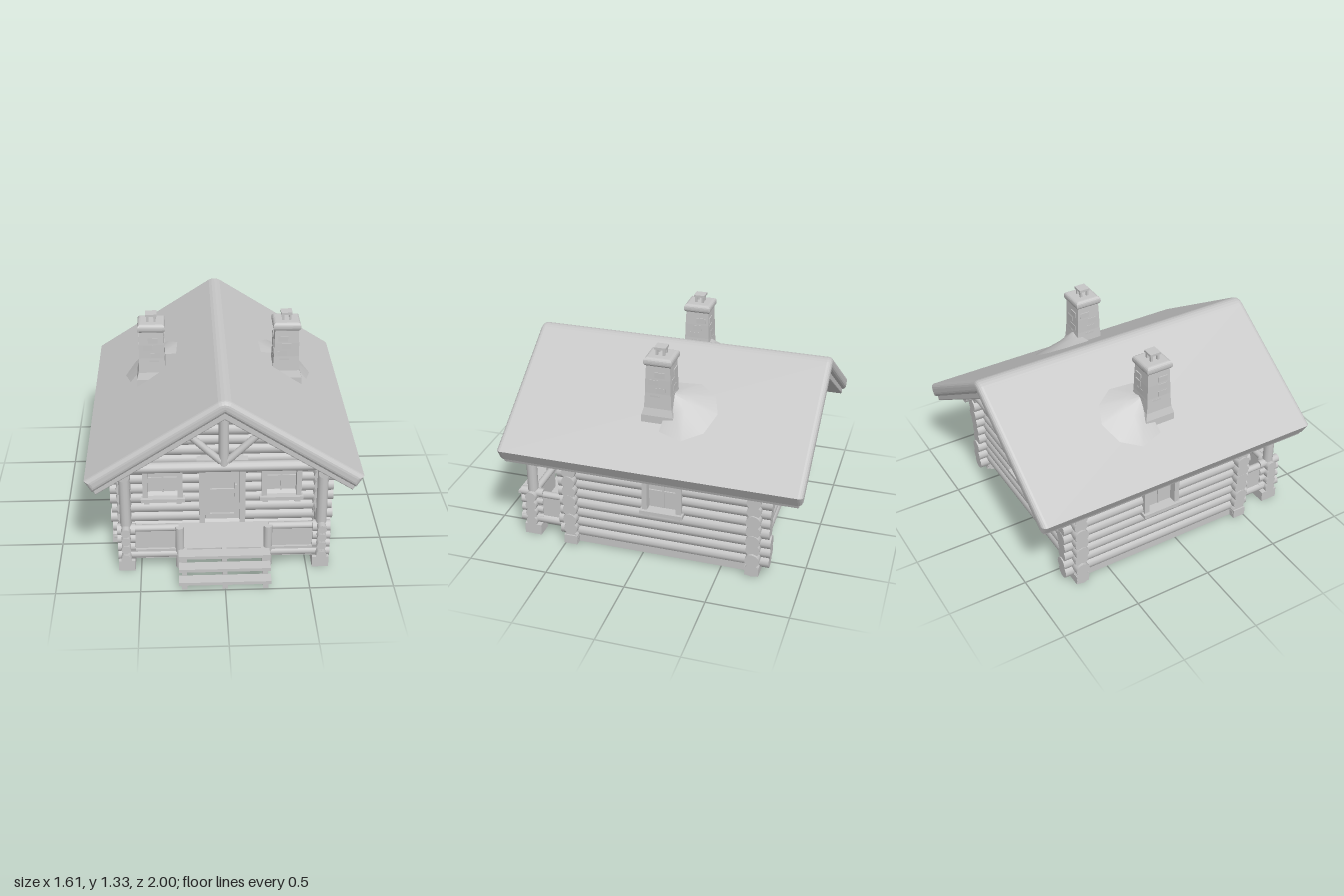
import * as THREE from 'three';

const gray = new THREE.MeshStandardMaterial({ color: 0xc6c6c6 });
gray.name = 'plain gray';

let seed = 7;
const rnd = () => (seed = (seed * 16807) % 2147483647) / 2147483647;

function add(parent, name, geo, x = 0, y = 0, z = 0) {
  const m = new THREE.Mesh(geo, gray);
  m.name = name;
  m.position.set(x, y, z);
  parent.add(m);
  return m;
}
const box = (p, name, x, y, z, w, h, d) => add(p, name, new THREE.BoxGeometry(w, h, d), x, y, z);

// round timber between two points
function log(p, name, a, b, r, sides = 12) {
  const A = new THREE.Vector3(...a), B = new THREE.Vector3(...b);
  const m = add(p, name, new THREE.CylinderGeometry(r, r, A.distanceTo(B), sides));
  m.position.copy(A).add(B).multiplyScalar(0.5);
  m.quaternion.setFromUnitVectors(new THREE.Vector3(0, 1, 0), B.sub(A).normalize());
  return m;
}
function group(p, name) {
  const g = new THREE.Group();
  g.name = name;
  p.add(g);
  return g;
}
const shapeOf = (pts) => new THREE.Shape(pts.map(([x, y]) => new THREE.Vector2(x, y)));

const PITCH = 0.64, ROW = 0.068;

// stacked logs along x or z, interrupted where an opening [min, max, yMin, yMax] sits
function logWall(p, name, axis, at, y0, rows, span, openings) {
  const g = group(p, name);
  for (let i = 0; i < rows; i++) {
    const y = y0 + i * ROW;
    let parts = [span(y)];
    for (const [a, b, ya, yb] of openings) {
      if (y < ya || y > yb) continue;
      parts = parts.flatMap(([s, e]) => (a > s && b < e ? [[s, a], [b, e]] : [[s, e]]));
    }
    const r = 0.042 + rnd() * 0.004;
    for (const [s, e] of parts) {
      if (axis === 'x') log(g, 'wallLog', [s, y, at], [e, y, at], r);
      else log(g, 'wallLog', [at, y, s], [at, y, e], r);
    }
  }
}

// recessed window facing +z
function windowUnit(p, x, y, z, turn) {
  const g = group(p, 'window');
  g.position.set(x, y, z);
  g.rotation.y = turn;
  box(g, 'windowPane', 0, 0, 0.008, 0.2, 0.23, 0.01);
  box(g, 'mullion', 0, 0, 0.016, 0.012, 0.2, 0.012);
  box(g, 'glazingBar', 0, 0.01, 0.016, 0.18, 0.012, 0.012);
  for (const s of [-1, 1]) {
    box(g, 'windowJamb', s * 0.107, 0, 0.035, 0.032, 0.25, 0.055);
    box(g, 'sillFoot', s * 0.1, -0.137, 0.045, 0.035, 0.022, 0.045);
  }
  box(g, 'windowHead', 0, 0.118, 0.038, 0.27, 0.028, 0.07);
  box(g, 'windowSill', 0, -0.117, 0.042, 0.27, 0.024, 0.08);
}

// triangular timber truss under the gable
function truss(p, z) {
  const g = group(p, 'gableTruss');
  log(g, 'tieBeam', [-0.62, 0.705, z], [0.62, 0.705, z], 0.032);
  log(g, 'kingPost', [0, 0.72, z], [0, 1.07, z], 0.03);
  for (const s of [-1, 1]) {
    log(g, 'rafter', [s * 0.58, 0.7, z], [0, 1.06, z], 0.028);
    log(g, 'brace', [s * 0.02, 0.745, z + 0.005], [s * 0.21, 0.93, z + 0.005], 0.021);
  }
}

// chevron roof layer extruded along z
function roofLayer(p, name, top, bottom, w, tuck, z0, z1, b) {
  const s = new THREE.Shape();
  const lift = b * 1.18;
  s.moveTo(-w + b, top - PITCH * (w - b) - lift);
  s.lineTo(-0.035, top - 0.02 - lift);
  s.quadraticCurveTo(0, top - b + 0.002, 0.035, top - 0.02 - lift);
  s.lineTo(w - b, top - PITCH * (w - b) - lift);
  s.lineTo(w - tuck - b * 0.6, bottom - PITCH * (w - tuck) + lift);
  s.lineTo(0, bottom + lift);
  s.lineTo(-w + tuck + b * 0.6, bottom - PITCH * (w - tuck) + lift);
  s.closePath();
  add(p, name, new THREE.ExtrudeGeometry(s, {
    depth: z1 - z0 - 2 * b, bevelThickness: b, bevelSize: b, bevelSegments: 4, curveSegments: 6,
  }), 0, 0, z0 + b);
}

function chimney(p, side) {
  const g = group(p, 'chimney');
  g.position.set(side * 0.42, 0, -0.06);
  // square shaft with a flared foot
  const prof = [[0.1, 0.84], [0.098, 0.92], [0.085, 0.965], [0.079, 1.06], [0.077, 1.15], [0.073, 1.24]];
  const pts = prof.map(([h, y]) => new THREE.Vector2(h * Math.SQRT2, y));
  const shaft = new THREE.LatheGeometry(pts, 4, Math.PI / 4).toNonIndexed();
  shaft.computeVertexNormals();
  add(g, 'chimneyShaft', shaft);
  // slightly proud stones
  for (let i = 0; i < 20; i++) {
    const y = 0.98 + Math.floor(i / 4) * 0.05, a = (i % 4) * Math.PI / 2, o = (rnd() - 0.5) * 0.06;
    const st = box(g, 'stone', Math.sin(a) * 0.076 + Math.cos(a) * o, y, Math.cos(a) * 0.076 - Math.sin(a) * o, 0.06, 0.034, 0.009);
    st.rotation.y = a;
  }
  // pillowy cap and open pot
  const c = 0.066;
  const cap = new THREE.ExtrudeGeometry(shapeOf([[-c, -c], [c, -c], [c, c], [-c, c]]),
    { depth: 0.01, bevelThickness: 0.022, bevelSize: 0.02, bevelSegments: 4 });
  cap.rotateX(-Math.PI / 2);
  add(g, 'chimneyCap', cap, 0, 1.255, 0);
  for (const x of [-1, 1]) for (const z of [-1, 1]) box(g, 'potLeg', x * 0.022, 1.305, z * 0.022, 0.014, 0.05, 0.014);
  box(g, 'potLid', 0, 1.33, 0, 0.07, 0.014, 0.07);
  // low smooth drift behind the chimney, sweeping onto the roof
  const rim = [[0.25, -0.1], [0.24, -0.28], [0.31, -0.4], [0.42, -0.44], [0.55, -0.38], [0.62, -0.24], [0.58, -0.08]];
  const pos = [], index = [];
  for (const t of [0, 0.35, 1]) {
    for (const [x, z] of rim) {
      const px = 0.42 + (x - 0.42) * t, pz = -0.12 + (z + 0.12) * t;
      const rise = 0.11 * (1 - t) ** 1.5 - 0.004 * t;
      pos.push(side * px, 1.2 - PITCH * px + rise, pz);
    }
  }
  const n = rim.length;
  for (let r = 0; r < 2; r++) for (let i = 0; i < n - 1; i++) {
    const a = r * n + i, b = a + 1, d = a + n, e = b + n;
    index.push(...(side > 0 ? [a, e, d, a, b, e] : [a, d, e, a, e, b]));
  }
  const drift = new THREE.BufferGeometry();
  drift.setAttribute('position', new THREE.Float32BufferAttribute(pos, 3));
  drift.setIndex(index);
  drift.computeVertexNormals();
  add(p, 'chimneySaddle', drift);
}

export function createModel() {
  const root = new THREE.Group();
  root.name = 'logCabin';

  // core and log walls
  const walls = group(root, 'walls');
  box(walls, 'innerCore', 0, 0.385, -0.12, 1.2, 0.6, 1.16);
  const underFloor = [-0.57, 0.57, 0, 0.08];
  const fw = [underFloor, [-0.47, -0.26, 0.34, 0.58], [0.26, 0.47, 0.34, 0.58], [-0.13, 0.13, 0.16, 0.61]];
  const cross = () => { const e = 0.675 + rnd() * 0.02; return [-e, e]; };
  const gable = (y) => { const e = (1.1 - y) / PITCH; return [-e, e]; };
  logWall(walls, 'frontWall', 'x', 0.46, 0.06, 9, cross, fw);
  logWall(walls, 'backWall', 'x', -0.7, 0.06, 9, cross, [underFloor, [-0.105, 0.105, 0.34, 0.58]]);
  for (const z of [0.46, -0.7]) {
    logWall(walls, 'gableWall', 'x', z, 0.06 + 9 * ROW, 7, gable, []);
    add(walls, 'gableCore', new THREE.ExtrudeGeometry(shapeOf([[-0.6, 0.66], [0.6, 0.66], [0, 1.1]]),
      { depth: 0.04, bevelEnabled: false }), 0, 0, z - 0.02);
  }
  for (const s of [-1, 1]) {
    logWall(walls, 'sideWall', 'z', s * 0.605, 0.094, 9,
      () => [-0.79 - rnd() * 0.015, 0.535 + rnd() * 0.015], [[-0.235, -0.025, 0.34, 0.58]]);
    box(walls, 'sillBeam', s * 0.605, 0.05, -0.12, 0.07, 0.06, 1.2);
    for (const z of [0.46, -0.7]) box(walls, 'cornerBlock', s * 0.635, 0.05, z, 0.1, 0.06, 0.085);
    windowUnit(root, s * 0.605, 0.46, -0.13, s * Math.PI / 2);
    windowUnit(root, s * 0.365, 0.46, 0.46, 0);
  }
  windowUnit(root, 0, 0.46, -0.7, Math.PI);

  // door
  const door = group(root, 'door');
  box(door, 'doorLeaf', 0, 0.385, 0.47, 0.26, 0.44, 0.02);
  for (const s of [-1, 1]) {
    box(door, 'doorJamb', s * 0.125, 0.385, 0.495, 0.035, 0.44, 0.06);
    box(door, 'doorStile', s * 0.09, 0.385, 0.485, 0.03, 0.42, 0.015);
  }
  for (const y of [0.195, 0.375, 0.58]) box(door, 'doorRail', 0, y, 0.485, 0.2, 0.03, 0.015);
  box(door, 'doorHandle', 0.085, 0.41, 0.5, 0.012, 0.04, 0.02);
  box(door, 'doorHead', 0, 0.615, 0.505, 0.31, 0.028, 0.08);

  // roof
  const roof = group(root, 'roof');
  roofLayer(roof, 'roofCover', 1.205, 1.115, 0.797, 0.025, -1, 0.87, 0.03);
  roofLayer(roof, 'roofBoards', 1.14, 1.07, 0.768, 0.02, -0.975, 0.845, 0.008);
  for (const s of [-1, 1]) {
    log(roof, 'eavePurlin', [s * 0.585, 0.675, -0.86], [s * 0.585, 0.675, 0.79], 0.036);
    chimney(root, s);
  }
  truss(root, 0.74);
  truss(root, -0.79);

  // porch
  const porch = group(root, 'porch');
  box(porch, 'porchFloor', 0, 0.118, 0.62, 1.16, 0.064, 0.3);
  log(porch, 'porchFrontBeam', [-0.6, 0.112, 0.75], [0.6, 0.112, 0.75], 0.03);
  for (const s of [-1, 1]) {
    const x = s * 0.585;
    log(porch, 'porchPost', [x, 0.28, 0.74], [x, 0.69, 0.74], 0.033);
    box(porch, 'postFoot', x, 0.045, 0.735, 0.1, 0.07, 0.11);
    for (let i = 0; i < 4; i++) {
      const y = 0.105 + i * 0.058;
      log(porch, 'postBaseLog', [x - 0.052, y, 0.74], [x + 0.055, y, 0.74], 0.036);
      log(porch, 'postBaseLog', [x, y + 0.015, 0.67], [x, y + 0.015, 0.815], 0.028);
    }
    box(porch, 'frontRailPanel', s * 0.41, 0.2, 0.74, 0.27, 0.18, 0.03);
    log(porch, 'frontRail', [s * 0.27, 0.285, 0.74], [s * 0.63, 0.285, 0.74], 0.022);
    box(porch, 'sideRailPanel', x, 0.2, 0.62, 0.03, 0.18, 0.26);
    log(porch, 'sideRail', [x, 0.285, 0.5], [x, 0.285, 0.8], 0.022);
    log(porch, 'sideSill', [x, 0.11, 0.5], [x, 0.11, 0.82], 0.032);
    log(porch, 'gatePost', [s * 0.265, 0.015, 0.76], [s * 0.265, 0.3, 0.76], 0.026);
  }

  // steps on three stepped bearers with a curved underside
  const steps = group(root, 'steps');
  for (let i = 0; i < 3; i++) {
    box(steps, 'tread', 0, 0.056 + i * 0.049, 0.963 - i * 0.062, 0.545, 0.02, 0.074);
  }
  const side = shapeOf([[0.99, 0.01], [0.99, 0.05], [0.93, 0.05], [0.93, 0.1], [0.868, 0.1], [0.868, 0.15], [0.76, 0.15], [0.76, 0.11], [0.82, 0.1]]);
  side.quadraticCurveTo(0.88, 0.01, 0.93, 0.01);
  for (const x of [-0.24, 0, 0.24]) {
    const geo = new THREE.ExtrudeGeometry(side, { depth: 0.032, bevelEnabled: false });
    geo.rotateY(-Math.PI / 2);
    add(steps, 'bearer', geo, x + 0.016, 0, 0);
  }
  return root;
}
